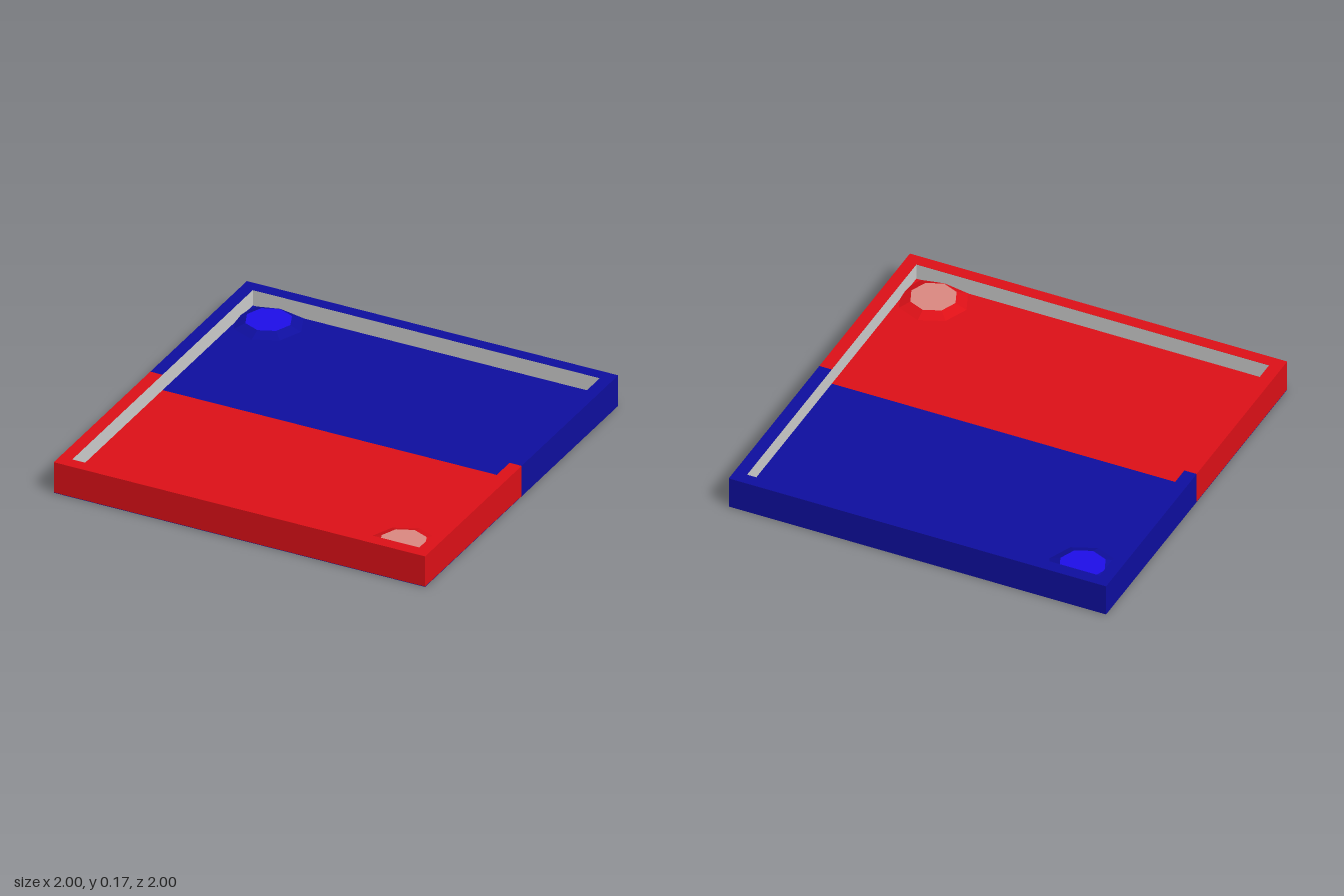
import * as THREE from 'three';

const HEIGHT = 0.167, FLOOR = 0.083, INNER = 0.935, SKIN = 0.002;

const paint = (color) => new THREE.MeshStandardMaterial({ color, flatShading: true });

function addMesh(parent, name, geometry, material, x = 0, y = 0, z = 0) {
  const mesh = new THREE.Mesh(geometry, material);
  mesh.name = name;
  mesh.position.set(x, y, z);
  parent.add(mesh);
  return mesh;
}

// Half of the tray, covering z = 0 to 1
function createHalf(name, color, padColor) {
  const half = new THREE.Group();
  half.name = name;
  const body = paint(color);

  // U-shaped wall, drawn with shape y = -z and extruded upwards
  const outline = new THREE.Shape([
    [-1, 0], [-1, -1], [1, -1], [1, 0],
    [INNER, 0], [INNER, -INNER], [-INNER, -INNER], [-INNER, 0],
  ].map(([x, y]) => new THREE.Vector2(x, y)));
  const wall = new THREE.ExtrudeGeometry(outline, { depth: HEIGHT - SKIN, bevelEnabled: false });
  wall.rotateX(-Math.PI / 2);
  addMesh(half, 'wall', wall, body, 0, SKIN, 0);

  // Sunken floor
  const floor = new THREE.BoxGeometry(2 * INNER, FLOOR - SKIN, INNER);
  addMesh(half, 'floor', floor, body, 0, (FLOOR + SKIN) / 2, INNER / 2);

  // Low eight-sided pad in one corner, with its own top colour
  const padHeight = 0.022;
  const pad = new THREE.CylinderGeometry(0.117, 0.175, padHeight, 8);
  addMesh(half, 'cornerPad', pad, [body, paint(padColor), body], 0.785, FLOOR + padHeight / 2, 0.812);
  return half;
}

export function createModel() {
  const model = new THREE.Group();
  model.name = 'tray';

  const front = createHalf('frontHalf', 0xdd1017, 0xdb8880);
  const back = createHalf('backHalf', 0x0e0e9e, 0x1e0ee8);
  back.rotation.y = Math.PI;
  model.add(front, back);

  // Underside
  addMesh(model, 'underside', new THREE.BoxGeometry(2, SKIN, 2), paint(0x0e0e9e), 0, SKIN / 2, 0);

  // Grey lining on the four inner wall faces
  const grey = paint(0xcccccc);
  const depth = HEIGHT - FLOOR;
  for (let i = 0; i < 4; i++) {
    const side = new THREE.Group();
    side.name = 'liningSide';
    side.rotation.y = i * Math.PI / 2;
    addMesh(side, 'lining', new THREE.PlaneGeometry(2 * INNER, depth), grey, 0, FLOOR + depth / 2, -INNER + 0.001);
    model.add(side);
  }
  return model;
}
